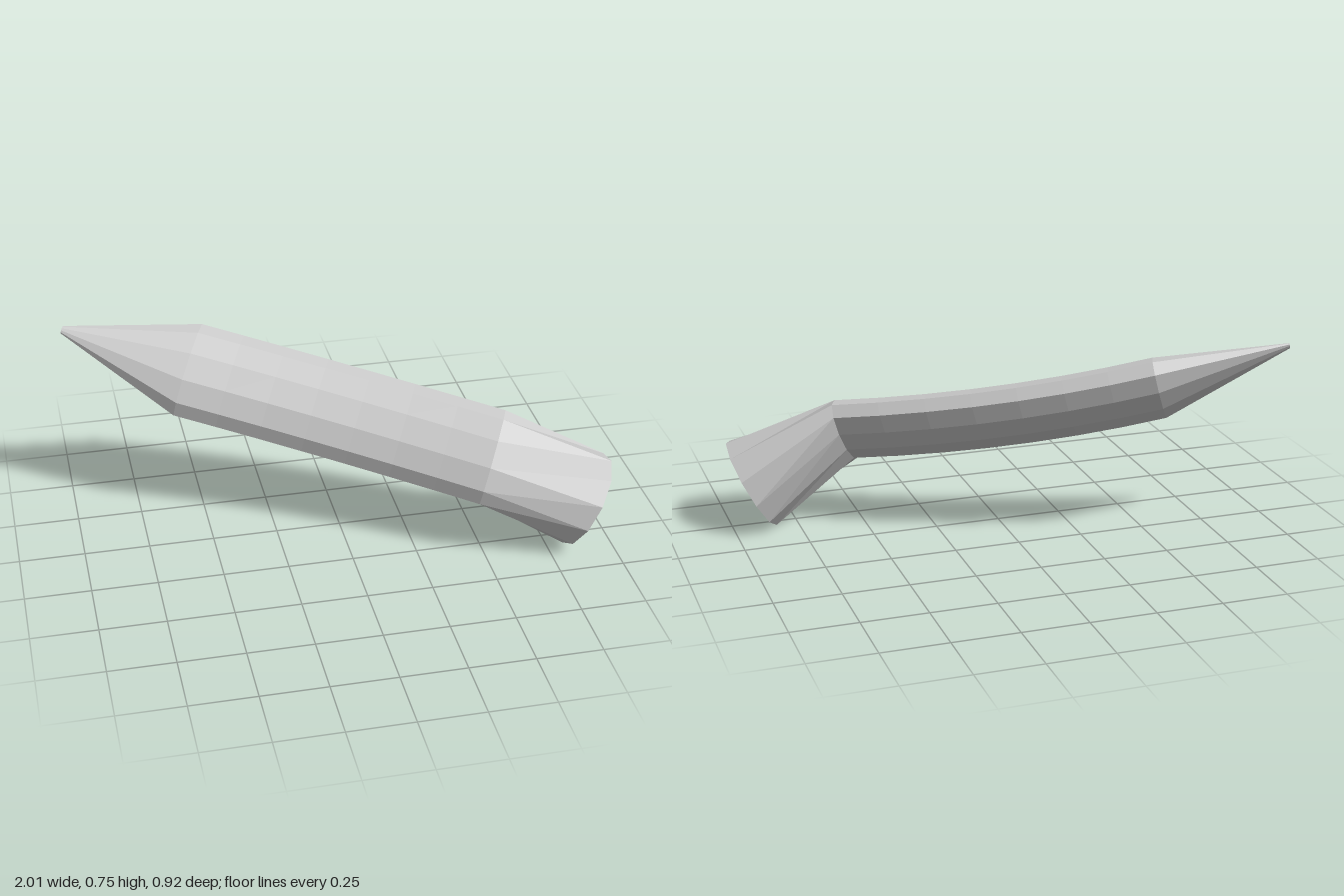
import * as THREE from 'three';

const SIDES = 11;
const STEP = (Math.PI * 2) / SIDES;
const rad = THREE.MathUtils.degToRad;

// Slanted oval cross-section: phases set where the first corner sits in z and y,
// and x follows the plane of the ring.
function ring(center, { sizeZ, sizeY, phaseZ, phaseY, slopeY, slopeZ }, scale = 1) {
  return Array.from({ length: SIDES }, (_, k) => {
    const z = scale * sizeZ * Math.cos(rad(phaseZ) - k * STEP);
    const y = scale * sizeY * Math.cos(rad(phaseY) - k * STEP);
    return new THREE.Vector3(slopeY * y + slopeZ * z, y, z).add(center);
  });
}

// Skin over a run of rings ordered from +x to -x, with an optional closing cap
function loft(name, rings, material, capCenter) {
  const points = rings.flat();
  const index = [];
  for (let r = 0; r < rings.length - 1; r++) {
    for (let k = 0; k < SIDES; k++) {
      const a = r * SIDES + k;
      const b = r * SIDES + ((k + 1) % SIDES);
      index.push(a + SIDES, b + SIDES, a, b + SIDES, b, a);
    }
  }
  if (capCenter) {
    const first = (rings.length - 1) * SIDES;
    points.push(capCenter);
    for (let k = 0; k < SIDES; k++) {
      index.push(points.length - 1, first + ((k + 1) % SIDES), first + k);
    }
  }
  const geometry = new THREE.BufferGeometry().setFromPoints(points);
  geometry.setIndex(index);
  geometry.computeVertexNormals();
  const mesh = new THREE.Mesh(geometry, material);
  mesh.name = name;
  return mesh;
}

export function createModel() {
  const group = new THREE.Group();
  group.name = 'bentTube';
  const material = new THREE.MeshStandardMaterial({
    color: 0xcccccc, flatShading: true, side: THREE.DoubleSide,
  });

  const oval = { sizeZ: 0.133, sizeY: 0.145, phaseZ: 172, phaseY: 47, slopeY: 0.25, slopeZ: -0.4 };
  const mouth = { sizeZ: 0.189, sizeY: 0.167, phaseZ: 152, phaseY: 66, slopeY: 0.56, slopeZ: -0.19 };

  // Curved body between the elbow and the shoulder of the point
  const elbow = new THREE.Vector3(0.55, 0.365, 0.21);
  const shoulder = new THREE.Vector3(-0.53, 0.585, -0.32);
  const bend = elbow.clone().lerp(shoulder, 0.5).add(new THREE.Vector3(0, -0.03, -0.08));
  const path = new THREE.QuadraticBezierCurve3(elbow, bend, shoulder);
  const body = path.getPoints(7).map((p) => ring(p, oval));
  group.add(loft('body', body, material));

  // Flared open end
  const mouthRing = ring(new THREE.Vector3(0.912, 0.167, 0.2725), mouth);
  group.add(loft('openEnd', [mouthRing, body[0]], material));

  // Tapered point with a tiny blunt end
  const tip = new THREE.Vector3(-0.994, 0.746, -0.45);
  group.add(loft('point', [body[body.length - 1], ring(tip, oval, 0.08)], material, tip));

  return group;
}
